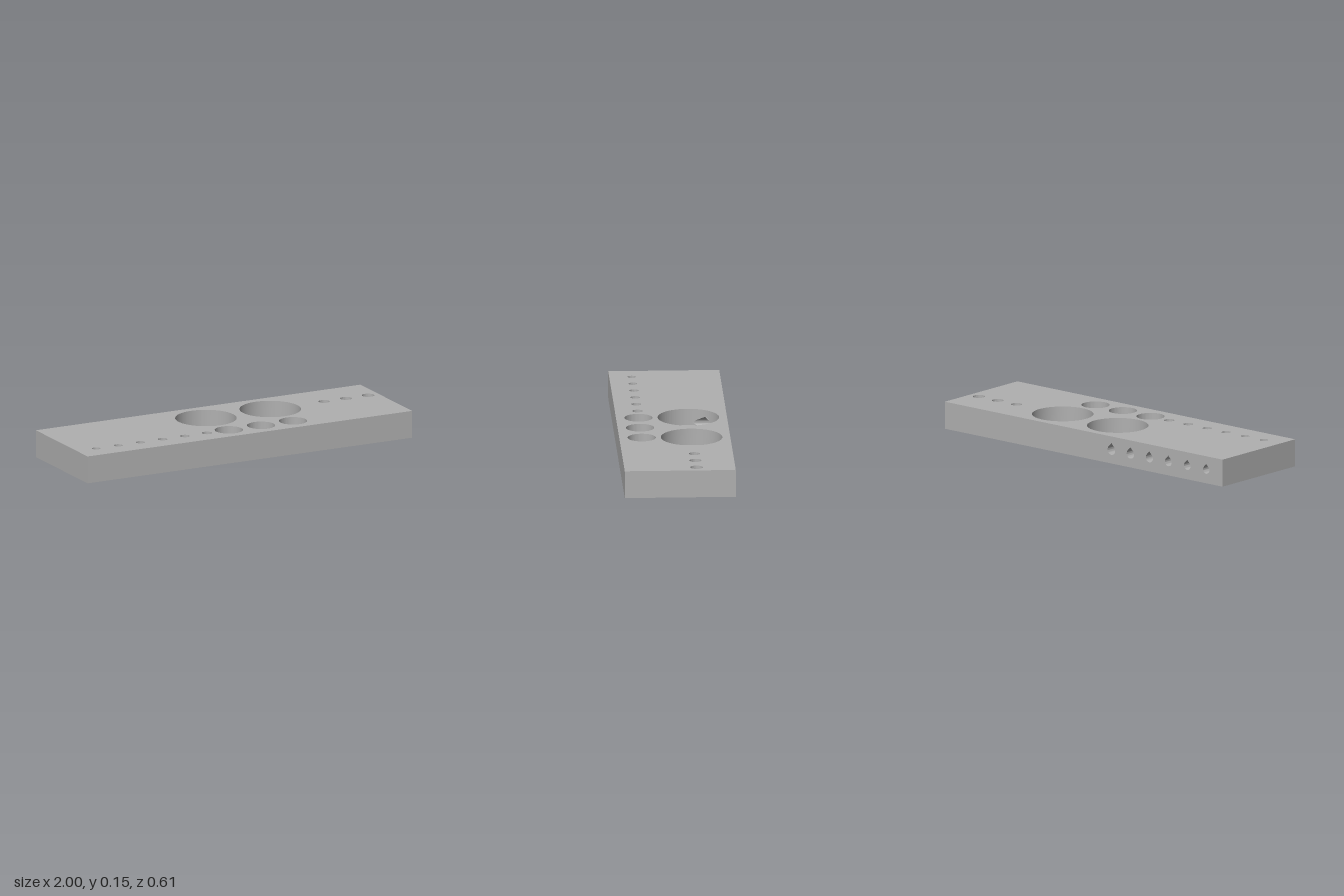
import * as THREE from 'three';
import { toCreasedNormals } from 'three/addons/utils/BufferGeometryUtils.js';

const H = 0.152, D = 0.303;            // block height, half depth
const FLOOR = 0.06, BORE_Y = 0.076;    // blind pocket floor, side bore axis
const BORE_END = -0.09;                // z where the side bores stop
const SEG = 64;

export function createModel() {
  const group = new THREE.Group();
  const grey = new THREE.MeshStandardMaterial({ color: 0xb0b0b0, side: THREE.DoubleSide });
  grey.name = 'grey';
  const add = (name, geometry) => {
    const mesh = new THREE.Mesh(geometry, grey);
    mesh.name = name;
    group.add(mesh);
    return mesh;
  };

  // Surface between two matching rows of points, given as [start, end] pairs
  const strip = (pairs) => {
    const pos = [];
    for (let i = 0; i + 1 < pairs.length; i++) {
      const [a, b] = pairs[i], [c, d] = pairs[i + 1];
      pos.push(...a, ...b, ...c, ...c, ...b, ...d);
    }
    const g = new THREE.BufferGeometry();
    g.setAttribute('position', new THREE.Float32BufferAttribute(pos, 3));
    g.computeVertexNormals();
    return toCreasedNormals(g, 0.5);
  };
  const ring = (x, z, r, n = SEG) => Array.from({ length: n + 1 }, (_, i) => {
    const t = i / n * Math.PI * 2;
    return [x + r * Math.cos(t), z + r * Math.sin(t)];
  });
  const toShape = (pts, flipX = 1, flipY = 1) =>
    new THREE.Shape(pts.map(([x, y]) => new THREE.Vector2(x * flipX, y * flipY)));
  const rect = (x, y0, y1) => [[-x, y0], [x, y0], [x, y1], [-x, y1]];
  const upFace = (pts, y, holes = []) => {
    const s = toShape(pts, 1, -1);
    s.holes = holes.map((h) => toShape(h, 1, -1));
    return new THREE.ShapeGeometry(s).rotateX(-Math.PI / 2).translate(0, y, 0);
  };
  const backFace = (pts, z, holes = []) => {
    const s = toShape(pts, -1);
    s.holes = holes.map((h) => toShape(h, -1));
    return new THREE.ShapeGeometry(s).rotateY(Math.PI).translate(0, 0, z);
  };

  // Hole layout: [x, z, radius]
  const series = Array.from({ length: 6 }, (_, i) => ({ x: -0.882 + i * 0.1365, r: 0.0225 + i * 0.001 }));
  const through = series.map(({ x, r }) => [x, 0.18, r]);
  const pocket = [-0.063, -0.092, 0.168];
  const blind = [
    [0.333, -0.092, 0.168],
    [-0.065, 0.18, 0.077], [0.134, 0.18, 0.077], [0.331, 0.18, 0.077],
    [0.665, -0.092, 0.03], [0.8, -0.092, 0.032], [0.936, -0.092, 0.034],
  ];

  // Teardrop outline of a side bore, counter-clockwise from its pointed top
  const teardrop = ({ x, r }, extra = []) => {
    const angles = Array.from({ length: 37 }, (_, i) => Math.PI * (0.75 + 1.5 * i / 36));
    angles.push(...extra);
    angles.sort((a, b) => a - b);
    const apex = [x, BORE_Y + r * Math.SQRT2];
    return [apex, ...angles.map((t) => [x + r * Math.cos(t), BORE_Y + r * Math.sin(t)]), apex];
  };

  // Outer faces
  const outline = rect(1, -D, D);
  add('topFace', upFace(outline, H, [...through, ...blind, pocket].map((h) => ring(...h))));
  const bottom = toShape(outline);
  bottom.holes = through.map((h) => toShape(ring(...h)));
  add('bottomFace', new THREE.ShapeGeometry(bottom).rotateX(Math.PI / 2));
  add('backFace', backFace(rect(1, 0, H), -D, series.map((s) => teardrop(s))));
  add('frontFace', new THREE.PlaneGeometry(2, H).translate(0, H / 2, D));
  for (const [name, s] of [['leftEnd', 1], ['rightEnd', -1]]) {
    add(name, new THREE.PlaneGeometry(2 * D, H).rotateY(s * Math.PI / 2).translate(s, H / 2, 0));
  }

  // Vertical holes
  const well = (h, y) => strip(ring(...h).map(([x, z]) => [[x, H, z], [x, y, z]]));
  for (const h of through) add('throughHole', well(h, 0));
  for (const h of blind) {
    add('blindHoleWall', well(h, FLOOR));
    add('blindHoleFloor', upFace(ring(...h), FLOOR));
  }

  // Side bores that end inside the block
  for (const s of series.slice(0, 5)) {
    const pts = teardrop(s);
    add('sideBore', strip(pts.map(([x, y]) => [[x, y, -D], [x, y, BORE_END]])));
    add('sideBoreEnd', backFace(pts, BORE_END));
  }

  // Last side bore: breaks into the large pocket and grooves its floor
  const bore = series[5];
  const [px, pz, pr] = pocket;
  const wallZ = (x) => pz - Math.sqrt(Math.max(0, pr * pr - (x - px) ** 2));
  const dip = Math.asin((BORE_Y - FLOOR) / bore.r);
  const half = bore.r * Math.cos(dip);
  const pts = teardrop(bore, [Math.PI + dip, 2 * Math.PI - dip]);
  const deep = ([, y]) => y <= FLOOR + 1e-6;
  const pairTo = (end) => ([x, y]) => [[x, y, -D], [x, y, end(x)]];
  const first = pts.findIndex(deep), last = pts.findLastIndex(deep);
  add('openBore', strip(pts.slice(0, first + 1).map(pairTo(wallZ))));
  add('openBore', strip(pts.slice(last).map(pairTo(wallZ))));
  add('grooveBed', strip(pts.slice(first, last + 1).map(pairTo(() => BORE_END))));
  add('grooveEnd', backFace(pts.slice(first, last + 1), BORE_END));

  // Pocket wall, left open where the bore comes through
  const upper = [], lower = [];
  for (const [x, z] of ring(px, pz, pr, 512)) {
    const dx = Math.abs(x - bore.x);
    let lo = BORE_Y, hi = BORE_Y;
    if (dx < bore.r && z < pz) {
      const c = Math.sqrt(bore.r ** 2 - dx * dx);
      lo = Math.max(FLOOR, BORE_Y - c);
      hi = BORE_Y + (dx < bore.r / Math.SQRT2 ? bore.r * Math.SQRT2 - dx : c);
    }
    upper.push([[x, H, z], [x, hi, z]]);
    lower.push([[x, lo, z], [x, FLOOR, z]]);
  }
  add('pocketWallUpper', strip(upper));
  add('pocketWallLower', strip(lower));

  // Pocket floor with the groove cut out of its edge
  const x0 = bore.x - half, x1 = bore.x + half;
  const floor = [];
  let cut = false;
  for (const [x, z] of ring(px, pz, pr, 128)) {
    if (z < pz && x > x0 && x < x1) {
      if (!cut) floor.push([x0, wallZ(x0)], [x0, BORE_END], [x1, BORE_END], [x1, wallZ(x1)]);
      cut = true;
    } else floor.push([x, z]);
  }
  add('pocketFloor', upFace(floor, FLOOR));

  return group;
}
